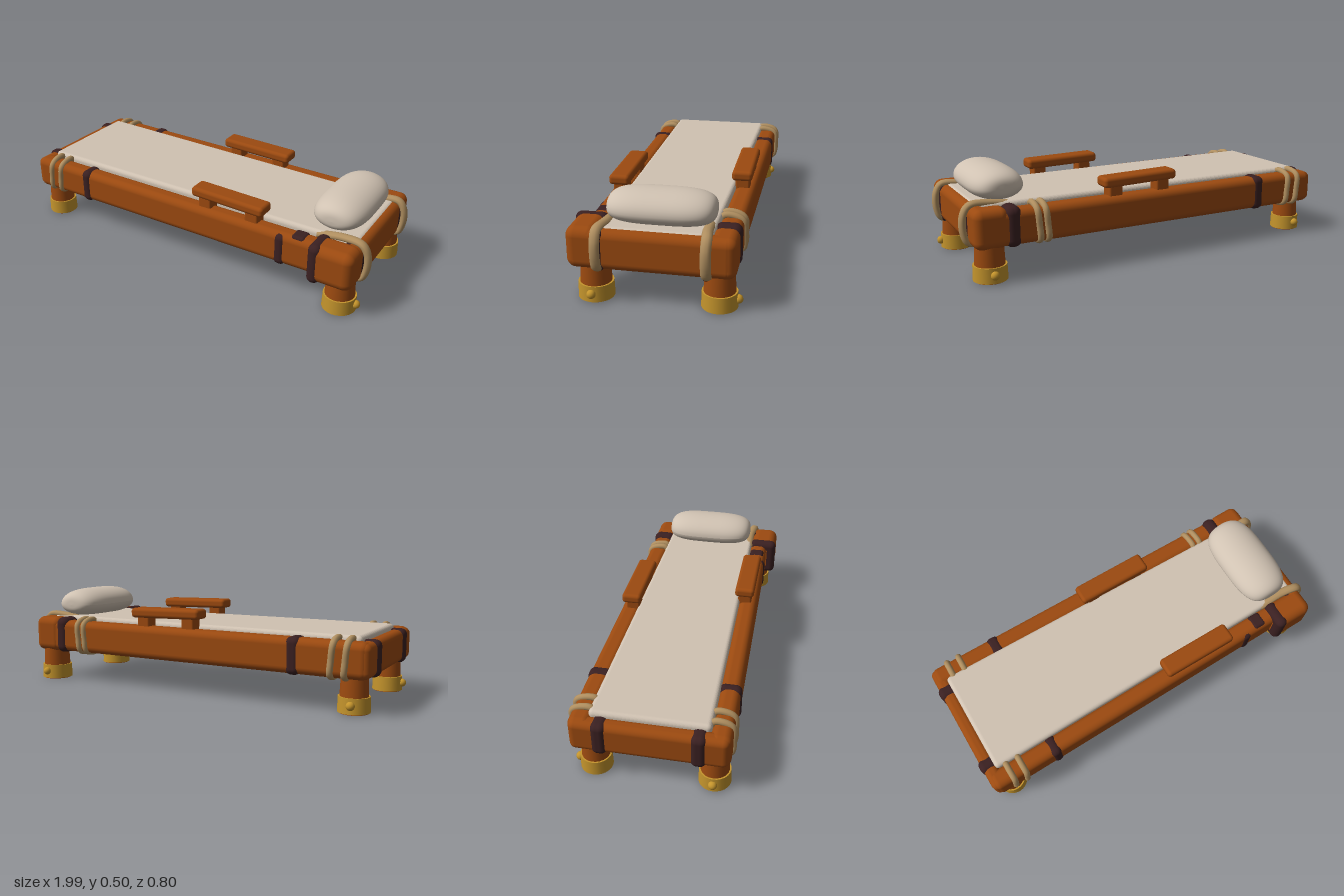
import * as THREE from 'three';
import { RoundedBoxGeometry } from 'three/addons/geometries/RoundedBoxGeometry.js';

const mat = (name, color) => Object.assign(new THREE.MeshStandardMaterial({ color }), { name });

export function createModel() {
  const model = new THREE.Group();
  model.name = 'daybed';
  const wood = mat('wood', 0x9c4a10);
  const linen = mat('linen', 0xd0c2b2);
  const gold = mat('gold', 0xc4942c);
  const rope = mat('rope', 0xb08f60);
  const leather = mat('leather', 0x3a2021);

  function add(name, geometry, material, parent = model) {
    const mesh = new THREE.Mesh(geometry, material);
    mesh.name = name;
    parent.add(mesh);
    return mesh;
  }

  // Rounded box given by its extents on each axis
  function slab(name, material, [x0, x1], [y0, y1], [z0, z1], radius = 0.02) {
    const geo = new RoundedBoxGeometry(x1 - x0, y1 - y0, z1 - z0, 4, radius);
    const mesh = add(name, geo, material);
    mesh.position.set((x0 + x1) / 2, (y0 + y1) / 2, (z0 + z1) / 2);
    return mesh;
  }

  // Smooth rope through a few points, optionally closed
  function cord(name, points, radius, closed) {
    const curve = new THREE.CatmullRomCurve3(points.map(p => new THREE.Vector3(...p)), closed);
    return add(name, new THREE.TubeGeometry(curve, 48, radius, 10, closed), rope);
  }

  // Frame: side rails converge slightly toward the head
  slab('frontRail', wood, [-0.98, 0.95], [0.167, 0.338], [0.255, 0.352], 0.036).rotation.y = 0.009;
  slab('backRail', wood, [-0.98, 0.955], [0.167, 0.338], [-0.367, -0.26], 0.036).rotation.y = -0.013;
  slab('footBoard', wood, [-0.988, -0.91], [0.17, 0.333], [-0.375, 0.355], 0.032);
  slab('headBoard', wood, [0.87, 0.958], [0.163, 0.352], [-0.352, 0.39], 0.04);
  slab('frontHeadCorner', wood, [0.735, 0.958], [0.161, 0.357], [0.25, 0.396], 0.045);
  slab('backHeadCorner', wood, [0.79, 0.957], [0.163, 0.352], [-0.36, -0.24], 0.04);
  slab('basePanel', wood, [-0.95, 0.92], [0.168, 0.315], [-0.32, 0.31], 0.005);

  // Mattress, narrowing and thinning toward the head
  const mattress = slab('mattress', linen, [-0.925, 0.925], [0.297, 0.353], [-0.28, 0.28], 0.022);
  const mp = mattress.geometry.attributes.position;
  for (let i = 0; i < mp.count; i++) {
    const t = mp.getX(i) / 1.85 + 0.5;
    mp.setZ(i, mp.getZ(i) * (1.0 - 0.1 * t) - 0.013 * (1 - t));
    mp.setY(i, mp.getY(i) + 0.004 * Math.cos(t * Math.PI * 2));
  }
  mattress.geometry.computeVertexNormals();

  // Pillow: a sphere with its ends squared off
  const pillowGeo = new THREE.SphereGeometry(1, 40, 32).rotateX(Math.PI / 2);
  const pp = pillowGeo.attributes.position;
  const soft = (v, e) => Math.sign(v) * Math.abs(v) ** e;
  for (let i = 0; i < pp.count; i++) {
    const x = pp.getX(i), y = pp.getY(i), z = pp.getZ(i);
    const r = Math.hypot(x, y);
    const k = r > 1e-5 ? r ** 0.6 / r : 0;
    const py = y * k;
    pp.setXYZ(i, x * k * 0.135, py * (py < 0 ? 0.07 : 0.088), soft(z, 0.6) * 0.245);
  }
  pillowGeo.computeVertexNormals();
  const pillow = add('pillow', pillowGeo, linen);
  pillow.position.set(0.78, 0.416, -0.008);

  // Armrests on two posts each
  for (const [side, x, z] of [['front', 0.265, 0.286], ['back', 0.1, -0.299]]) {
    const rest = slab(side + 'Armrest', wood, [x - 0.203, x + 0.203], [0.384, 0.435], [z - 0.051, z + 0.051], 0.018);
    rest.rotation.z = -0.02;
    for (const dx of [-0.132, 0.135]) {
      slab(side + 'ArmrestPost', wood, [x + dx - 0.036, x + dx + 0.036], [0.31, 0.4], [z - 0.036, z + 0.036], 0.01);
    }
  }

  // Legs with gold cuffs; each rivet faces the given angle (0 = +x, 90 = +z)
  const legs = [
    ['frontLeft', 0.872, 0.282, 0.083, 0],
    ['backLeft', 0.872, -0.28, 0.083, -88],
    ['frontRight', -0.892, 0.282, 0.077, 180],
    ['backRight', -0.892, -0.28, 0.077, -95],
  ];
  for (const [name, x, z, r, angle] of legs) {
    const leg = new THREE.Group();
    leg.name = name + 'Leg';
    leg.position.set(x, 0, z);
    model.add(leg);
    add('post', new THREE.CylinderGeometry(r * 0.8, r * 0.92, 0.2, 24), wood, leg).position.y = 0.102;
    add('cuff', new THREE.CylinderGeometry(r * 0.97, r, 0.074, 24), gold, leg).position.y = 0.043;
    const a = angle * Math.PI / 180;
    add('rivet', new THREE.SphereGeometry(0.021, 16, 12), gold, leg)
      .position.set(Math.cos(a) * r, 0.046, Math.sin(a) * r);
  }

  // Leather bands around rails, corners and boards
  const band = (name, x, y, z, radius) => slab(name, leather, x, y, z, radius);
  band('frontFootBand', [-0.655, -0.59], [0.163, 0.343], [0.255, 0.364], 0.03);
  band('frontHeadBand', [0.535, 0.602], [0.163, 0.333], [0.29, 0.352], 0.03);
  band('frontHeadTopBand', [0.62, 0.695], [0.3, 0.342], [0.255, 0.335], 0.018);
  band('frontCornerBand', [0.735, 0.8], [0.156, 0.361], [0.245, 0.4], 0.031);
  band('backFootBand', [-0.655, -0.58], [0.163, 0.343], [-0.379, -0.262], 0.03);
  band('backHeadBand', [0.73, 0.81], [0.159, 0.355], [-0.364, -0.24], 0.036);
  for (const z of [-0.233, 0.217]) {
    band('footBoardBand', [-0.998, -0.905], [0.165, 0.339], [z - 0.037, z + 0.037], 0.03);
  }
  band('headBoardBand', [0.865, 0.964], [0.158, 0.353], [0.219, 0.275], 0.027);
  band('headBoardBand', [0.865, 0.964], [0.158, 0.353], [-0.247, -0.213], 0.016);

  // Rope loops around the side rails
  function railLoop(name, x, zIn, zOut, lean) {
    const zm = (zIn + zOut) / 2;
    cord(name, [
      [x + lean, 0.34, zIn], [x + lean, 0.345, zm], [x + lean, 0.322, zOut],
      [x, 0.25, zOut + Math.sign(zOut) * 0.006], [x - lean, 0.185, zOut],
      [x - lean, 0.168, zm], [x - lean, 0.175, zIn], [x, 0.25, zIn],
    ], 0.016, true);
  }
  for (const x of [-0.877, -0.81]) {
    railLoop('frontFootRope', x, 0.265, 0.352, 0.006);
    railLoop('backFootRope', x, -0.28, -0.374, -0.006);
  }
  for (const x of [0.608, 0.65]) railLoop('backHeadRope', x, -0.26, -0.352, 0.006);

  // Flattened ropes drawn over the head board
  for (const [z, drift] of [[0.25, -0.01], [-0.232, 0.006]]) {
    const lash = cord('headRope', [
      [0.72, 0.335, drift], [0.85, 0.355, drift], [0.945, 0.354, 0], [0.974, 0.31, 0],
      [0.976, 0.23, 0], [0.955, 0.18, 0], [0.89, 0.172, 0],
    ], 0.017, false);
    lash.scale.z = 1.4;
    lash.position.z = z;
  }

  return model;
}
